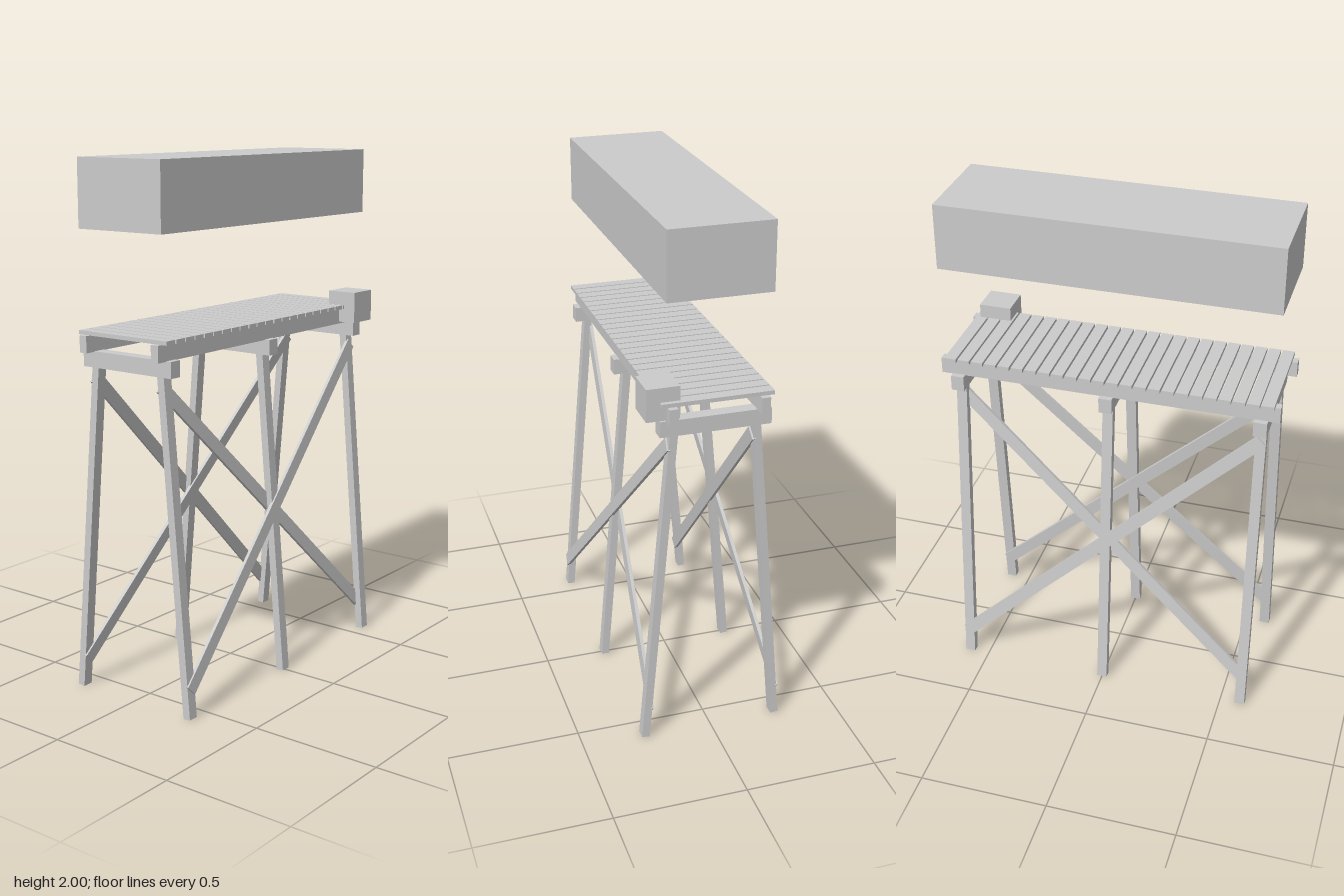
import * as THREE from 'three';

const material = new THREE.MeshStandardMaterial({ color: 0xcccccc, flatShading: true });

function box(parent, name, size, position) {
  const mesh = new THREE.Mesh(new THREE.BoxGeometry(...size), material);
  mesh.name = name;
  mesh.position.set(...position);
  parent.add(mesh);
  return mesh;
}

// Timber running from a to b, its thin side facing along the given normal
function beam(parent, name, a, b, width, depth, normal) {
  const along = b.clone().sub(a);
  const mesh = box(parent, name, [width, along.length(), depth], a.clone().add(b).multiplyScalar(0.5).toArray());
  const y = along.normalize();
  const x = new THREE.Vector3().crossVectors(y, normal).normalize();
  const z = new THREE.Vector3().crossVectors(x, y);
  mesh.quaternion.setFromRotationMatrix(new THREE.Matrix4().makeBasis(x, y, z));
  return mesh;
}

const bentX = [-0.58, 0, 0.58];
const footZ = 0.26, headZ = 0.152, headY = 1.258, footY = 0.0014;
const legZ = (y) => THREE.MathUtils.lerp(footZ, headZ, y / headY);

// One leaning side: three legs and a pair of crossed braces
function trestleSide() {
  const side = new THREE.Group();
  const outward = new THREE.Vector3(0, footZ - headZ, headY).normalize();
  for (const x of bentX) {
    beam(side, 'leg', new THREE.Vector3(x, footY, footZ), new THREE.Vector3(x, headY, headZ), 0.04, 0.03, outward);
  }
  // The rising brace lies on the outer face, the falling one on the inner face
  for (const s of [1, -1]) {
    const low = 0.11, high = 1.215, offset = 0.015 * s;
    beam(side, s > 0 ? 'outerBrace' : 'innerBrace',
      new THREE.Vector3(-0.585 * s, low, legZ(low) + offset),
      new THREE.Vector3(0.585 * s, high, legZ(high) + offset), 0.05, 0.013, outward);
  }
  return side;
}

export function createModel() {
  const model = new THREE.Group();
  model.name = 'trestlePlatform';

  // Leaning legs and braces, the back being the front turned half round
  const front = trestleSide();
  front.name = 'frontTrestle';
  const back = trestleSide();
  back.name = 'backTrestle';
  back.rotation.y = Math.PI;
  model.add(front, back);

  // Cross caps on top of each pair of legs
  for (const x of bentX) box(model, 'crossCap', [0.05, 0.06, 0.41], [x, 1.282, 0]);

  // Long stringers
  for (const s of [1, -1]) box(model, 'stringer', [1.295, 0.062, 0.032], [0, 1.341, 0.167 * s]);

  // Deck planks with narrow gaps
  const deck = new THREE.Group();
  deck.name = 'deck';
  const count = 24, pitch = 1.26 / count;
  for (let i = 0; i < count; i++) {
    box(deck, 'plank', [pitch - 0.007, 0.015, 0.41], [(i - (count - 1) / 2) * pitch, 1.379, 0]);
  }
  model.add(deck);

  // Small box at the deck edge and the large block above the deck
  box(model, 'edgeBox', [0.125, 0.122, 0.122], [0.546, 1.379, 0.194]);
  box(model, 'overheadBlock', [1.266, 0.25, 0.38], [0, 1.875, 0]);

  return model;
}
